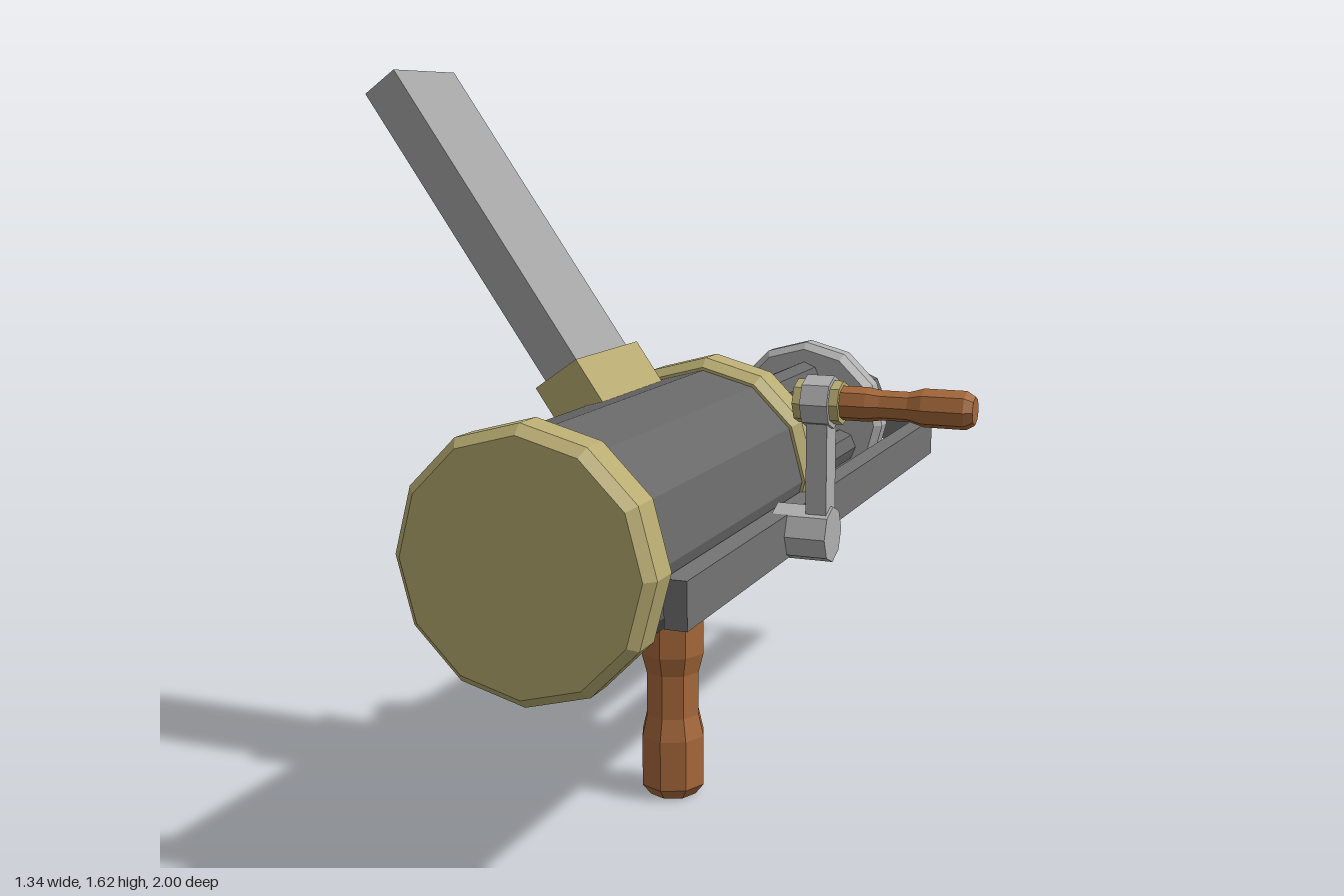
import * as THREE from 'three';

const CX = -0.01, CY = 0.705; // main axis

const mat = (color) => new THREE.MeshStandardMaterial({ color, flatShading: true });

export function createModel() {
  const root = new THREE.Group();
  const brass = mat(0xb8ac72), steel = mat(0xb0b0b0), dark = mat(0x686868),
    frameGrey = mat(0x747474), feedGrey = mat(0xa6a6a6), wood = mat(0xa5683a);

  const add = (name, geo, material, x = 0, y = 0, z = 0, parent = root) => {
    const m = new THREE.Mesh(geo, material);
    m.name = name;
    m.position.set(x, y, z);
    parent.add(m);
    return m;
  };
  const box = (name, material, w, h, d, x, y, z, parent) =>
    add(name, new THREE.BoxGeometry(w, h, d), material, x, y, z, parent);

  // faceted turned shape; profile is [radius, height] pairs going up
  const turned = (profile, sides) =>
    new THREE.LatheGeometry(profile.map(([r, h]) => new THREE.Vector2(r, h)), sides);
  const drum = (r, z0, z1, sides, bevel = 0) => {
    const p = bevel
      ? [[0, z0], [r - bevel, z0], [r, z0 + bevel], [r, z1 - bevel], [r - bevel, z1], [0, z1]]
      : [[0, z0], [r, z0], [r, z1], [0, z1]];
    return turned(p, sides);
  };
  const alongZ = (g) => g.rotateX(Math.PI / 2);
  const alongX = (g) => g.rotateZ(-Math.PI / 2);

  // body and its bands
  add('body', alongZ(drum(0.243, 0.05, 0.93, 12)), dark, CX, CY);
  add('rearCap', alongZ(drum(0.27, 0.895, 1, 12, 0.02)), brass, CX, CY);
  add('frontBand', alongZ(drum(0.27, -0.02, 0.09, 12, 0.02)), brass, CX, CY);
  add('barrelCollar', alongZ(drum(0.217, -0.085, 0, 12, 0.018)), steel, CX, CY);
  add('barrelClamp', alongZ(drum(0.217, -0.73, -0.648, 12, 0.018)), steel, CX, CY);

  // six hollow barrels around a central shaft
  const barrels = new THREE.Group();
  barrels.name = 'barrels';
  root.add(barrels);
  const barrelGeo = turned([[0.045, 0], [0.045, 0.9], [0.03, 0.9], [0.03, 0.78], [0, 0.78]], 8)
    .rotateX(-Math.PI / 2);
  for (let i = 0; i < 6; i++) {
    const a = i * Math.PI / 3;
    add('barrel', barrelGeo, dark, CX + 0.12 * Math.sin(a), CY + 0.12 * Math.cos(a), 0, barrels);
  }
  add('shaft', alongZ(drum(0.046, -1, 0, 8)), dark, CX, CY);

  // frame: two side rails and a raised cross piece holding the shaft
  for (const s of [-1, 1])
    box('sideRail', frameGrey, 0.047, 0.097, 1.82, CX + s * 0.262, 0.633, -0.03);
  const lower = [[-0.285, 0], [-0.235, 0], [-0.07, 0.08], [0.07, 0.08], [0.235, 0], [0.285, 0]];
  const upper = lower.map(([x, y]) => [x, y + 0.097]).reverse();
  const cross = new THREE.Shape([...lower, ...upper].map(([x, y]) => new THREE.Vector2(x, y)));
  add('crossPiece', new THREE.ExtrudeGeometry(cross, { depth: 0.037, bevelEnabled: false }),
    frameGrey, CX, 0.5845, -0.942);

  // tilted feed bar in its socket
  const feed = new THREE.Group();
  feed.name = 'feed';
  feed.position.set(CX, CY, 0.295);
  feed.rotation.z = THREE.MathUtils.degToRad(35);
  root.add(feed);
  box('feedBar', feedGrey, 0.09, 0.84, 0.258, 0, 0.668, 0, feed);
  box('feedSocket', brass, 0.118, 0.14, 0.317, 0, 0.266, 0, feed);

  // lower grip
  add('gripCollar', drum(0.084, 0.425, 0.49, 8), brass, CX, 0, 0.275);
  add('grip', turned([[0, 0], [0.055, 0], [0.075, 0.025], [0.075, 0.14], [0.063, 0.19],
    [0.063, 0.29], [0.075, 0.335], [0.075, 0.43], [0, 0.43]], 8), wood, CX, 0, 0.275);

  // side crank
  const crank = new THREE.Group();
  crank.name = 'crank';
  crank.position.set(0, 0.637, 0.275);
  root.add(crank);
  add('crankPivot', alongX(drum(0.061, 0.24, 0.365, 8)), steel, 0, 0, 0, crank);
  box('crankArm', steel, 0.046, 0.28, 0.064, 0.336, 0.14, 0, crank);
  add('crankEye', alongX(drum(0.057, 0.305, 0.365, 8)), steel, 0, 0.288, 0, crank);
  add('crankBushing', alongX(drum(0.047, 0.285, 0.385, 8)), brass, 0, 0.288, 0, crank);
  add('crankHandle', alongX(turned([[0, 0.38], [0.037, 0.38], [0.037, 0.44], [0.032, 0.47],
    [0.032, 0.53], [0.041, 0.56], [0.041, 0.65], [0.03, 0.668], [0, 0.668]], 8)),
    wood, 0, 0.288, 0, crank);

  return root;
}
